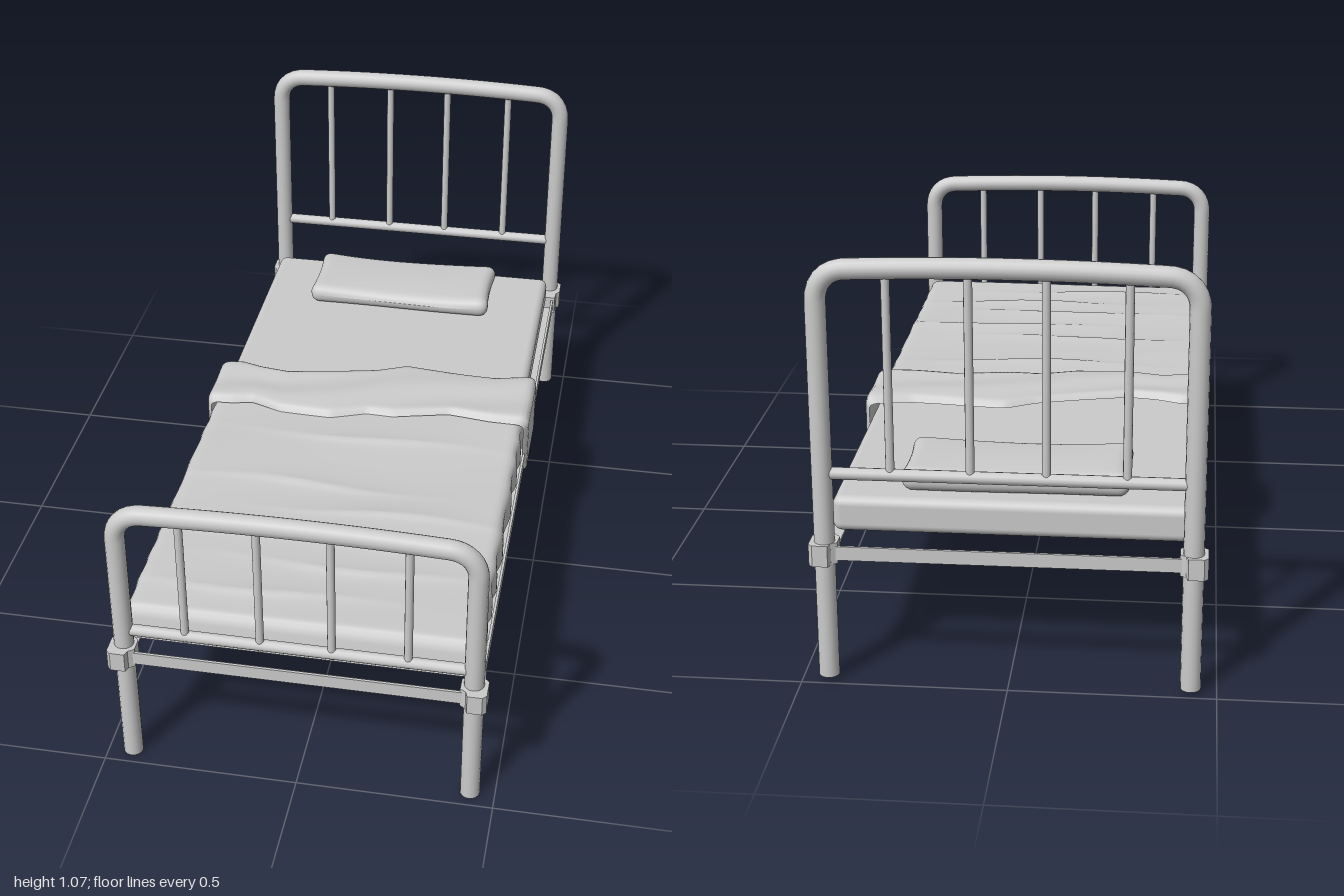
import * as THREE from 'three';
import { mergeVertices } from 'three/addons/utils/BufferGeometryUtils.js';
import { RoundedBoxGeometry } from 'three/addons/geometries/RoundedBoxGeometry.js';

const metal = new THREE.MeshStandardMaterial({ color: 0xcccccc });
const cloth = new THREE.MeshStandardMaterial({ color: 0xcccccc, side: THREE.DoubleSide });
const V = (x, y, z = 0) => new THREE.Vector3(x, y, z);

function add(parent, name, geometry, x = 0, y = 0, z = 0, material = metal) {
  const mesh = new THREE.Mesh(geometry, material);
  mesh.name = name;
  mesh.position.set(x, y, z);
  parent.add(mesh);
  return mesh;
}

// Linear interpolation through a few [x, value] pairs
function lerpTable(table, x) {
  let i = 1;
  while (i < table.length - 1 && x > table[i][0]) i++;
  const [x0, a] = table[i - 1], [x1, b] = table[i];
  return a + (b - a) * THREE.MathUtils.clamp((x - x0) / (x1 - x0), 0, 1);
}

// Bent tube frame with legs, a lower rail and four spindles
function endFrame(name, z, top, railY, footY) {
  const group = new THREE.Group();
  group.name = name;
  group.position.z = z;
  const X = 0.437, bend = 0.075, R = 0.025;
  const path = new THREE.CurvePath();
  const shoulder = top - 0.008;
  path.add(new THREE.LineCurve3(V(-X, footY), V(-X, shoulder - bend)));
  const corner = s => [V(s * X, shoulder - bend), V(s * X, shoulder - bend * 0.4), V(s * (X - bend * 0.4), shoulder), V(s * (X - bend), shoulder)];
  path.add(new THREE.CubicBezierCurve3(...corner(-1)));
  path.add(new THREE.QuadraticBezierCurve3(V(-X + bend, shoulder), V(0, top + 0.008), V(X - bend, shoulder)));
  path.add(new THREE.CubicBezierCurve3(...corner(1).reverse()));
  path.add(new THREE.LineCurve3(V(X, shoulder - bend), V(X, footY)));
  add(group, 'bentTube', new THREE.TubeGeometry(path, 160, R, 16));
  for (const s of [-1, 1]) {
    add(group, 'legEnd', new THREE.CircleGeometry(R, 16).rotateX(Math.PI / 2), s * X, footY);
  }
  add(group, 'lowerRail', new THREE.CylinderGeometry(0.015, 0.015, 2 * X, 12).rotateZ(Math.PI / 2), 0, railY);
  for (const x of [-0.279, -0.091, 0.087, 0.275]) {
    const h = top - railY + 0.012;
    add(group, 'spindle', new THREE.CylinderGeometry(0.0105, 0.0105, h, 12), x, railY - 0.012 + h / 2);
  }
  return group;
}

// Angle iron: an L section extruded along z, centred
function angleIron(length) {
  const s = new THREE.Shape([[0, 0], [0, 0.035], [-0.007, 0.035], [-0.007, 0.007], [-0.038, 0.007], [-0.038, 0]]
    .map(p => new THREE.Vector2(...p)));
  return new THREE.ExtrudeGeometry(s, { depth: length, bevelEnabled: false }).translate(0, 0, -length / 2);
}

// Corner clamp: a chamfered plan with arms reaching along both rails
function clampGeometry() {
  const s = new THREE.Shape([[0.405, 0.975], [0.405, 0.94], [0.42, 0.925], [0.428, 0.9], [0.46, 0.9], [0.462, 0.93],
    [0.472, 0.94], [0.472, 0.99], [0.462, 1], [0.425, 1], [0.42, 0.985]].map(p => new THREE.Vector2(...p)));
  return new THREE.ExtrudeGeometry(s, { depth: 0.054, bevelEnabled: false }).rotateX(Math.PI / 2).translate(0, 0.361, 0);
}

// Sheet bent by a rule (u runs across x, v runs toward +z)
function sheet(nu, nv, rule) {
  const g = new THREE.PlaneGeometry(1, 1, nu, nv);
  const p = g.attributes.position;
  for (let i = 0; i < p.count; i++) {
    const [x, y, z] = rule(i % (nu + 1), Math.floor(i / (nu + 1)) / nv);
    p.setXYZ(i, x, y, z);
  }
  g.computeVertexNormals();
  return g;
}

// Up one side of the mattress, across the top and down the other side
function drape(n, w, bottom, top, r) {
  const s = new THREE.Path();
  s.moveTo(-w, bottom);
  s.lineTo(-w, top - r);
  s.quadraticCurveTo(-w, top, -w + r, top);
  s.lineTo(w - r, top);
  s.quadraticCurveTo(w, top, w, top - r);
  s.lineTo(w, bottom);
  return s.getSpacedPoints(n);
}

function blanketGeometry() {
  const n = 90, pts = drape(n, 0.443, 0.358, 0.447, 0.03);
  const folds = [[0.11, 0.05], [0.34, -0.1], [0.45, 0.15], [0.58, -0.05], [0.68, 0.1], [0.8, -0.12]];
  return sheet(n, 110, (i, v) => {
    const { x, y } = pts[i];
    const z = -0.08 + 1.008 * v;
    const up = THREE.MathUtils.clamp((y - 0.4) / 0.047, 0, 1);
    // Each crease rises slowly and drops off steeply
    let h = 0;
    for (const [zc, xc] of folds) {
      const d = z - zc - 0.012 * Math.sin(9 * x + zc * 20);
      const along = Math.exp(-(((x - xc) / 0.25) ** 2));
      h += 0.009 * along * (d < 0 ? Math.exp(d / 0.04) : Math.exp(-d / 0.012));
    }
    const side = (1 - up) * 0.005 * Math.sin(48 * z + 2 * Math.sin(9 * z)) * Math.sign(x);
    // Round the foot end over and close it
    const e = Math.max(0, (z - 0.893) / 0.035);
    const drop = e > 0 ? 1 - Math.sqrt(Math.max(0, 1 - e * e)) : 0;
    const yy = y + up * (h + 0.002 * Math.sin(14 * z + 5 * x));
    return [(x + side) * (1 - 0.02 * drop), yy - (yy - 0.358) * drop, z];
  });
}

// Turned-down band with wavy edges and hanging sides
function bandGeometry() {
  const back = [[-0.46, -0.2], [-0.4, -0.205], [-0.34, -0.185], [-0.26, -0.175], [-0.1, -0.21], [0, -0.235], [0.08, -0.275], [0.25, -0.255], [0.34, -0.25], [0.46, -0.275]];
  const front = [[-0.46, 0.005], [-0.4, 0], [-0.34, -0.015], [-0.25, 0.015], [-0.1, 0.02], [0, -0.015], [0.08, -0.01], [0.24, -0.045], [0.36, -0.03], [0.46, -0.03]];
  const n = 100, pts = drape(n, 0.461, 0.297, 0.468, 0.025);
  return sheet(n, 20, (i, v) => {
    const { x, y } = pts[i];
    const hem = Math.max(0, Math.abs(v - 0.5) * 2 - 0.88) / 0.12;
    const k = 1 - hem * 0.03;
    const z = THREE.MathUtils.lerp(lerpTable(back, x), lerpTable(front, x), v);
    const top = THREE.MathUtils.clamp((y - 0.43) / 0.038, 0, 1);
    return [x * k, y - top * (hem * 0.018 + 0.003 * Math.sin(7 * x + 9 * v)), z];
  });
}

// Soft box with rounded edges and a sagging middle
function pillowGeometry() {
  const half = V(0.28, 0.031, 0.122), r = 0.029;
  let g = new THREE.BoxGeometry(half.x * 2, half.y * 2, half.z * 2, 48, 8, 24);
  g.deleteAttribute('uv');
  g.deleteAttribute('normal');
  g = mergeVertices(g);
  const p = g.attributes.position, inner = half.clone().subScalar(r), neg = inner.clone().negate();
  const a = V(0, 0), q = V(0, 0);
  for (let i = 0; i < p.count; i++) {
    a.fromBufferAttribute(p, i);
    q.copy(a).clamp(neg, inner);
    a.sub(q).setLength(r).add(q);
    const u = a.x / half.x, w = a.z / half.z;
    if (a.y > 0) a.y -= 0.013 * (1 - u * u) * (0.4 + 0.6 * w * w);
    a.z *= 1 + 0.02 * Math.sin(u * 3);
    a.x *= 1 - 0.03 * (1 - w * w);
    p.setXYZ(i, a.x, a.y, a.z);
  }
  g.computeVertexNormals();
  return g;
}

export function createModel() {
  const bed = new THREE.Group();
  bed.name = 'bed';

  bed.add(endFrame('headboard', -0.967, 1.042, 0.535, 0.01));
  bed.add(endFrame('footboard', 0.953, 0.772, 0.405, 0));

  // Bed base
  for (const s of [-1, 1]) {
    const side = add(bed, 'sideRail', angleIron(1.9), s * 0.455, 0.316, 0);
    if (s < 0) side.rotation.y = Math.PI;
    const end = add(bed, 'endRail', angleIron(0.85), 0, 0.316, s * 0.978);
    end.rotation.y = -s * Math.PI / 2;
  }
  const clamp = clampGeometry();
  for (const turned of [0, 1]) {
    for (const s of [1, -1]) {
      const g = clamp.clone();
      if (s < 0) {
        // Mirror and flip the winding
        g.scale(-1, 1, 1);
        const p = g.attributes.position;
        for (let i = 0; i < p.count; i += 3) {
          const a = V(0, 0).fromBufferAttribute(p, i), b = V(0, 0).fromBufferAttribute(p, i + 1);
          p.setXYZ(i, b.x, b.y, b.z);
          p.setXYZ(i + 1, a.x, a.y, a.z);
        }
        g.computeVertexNormals();
      }
      add(bed, 'cornerClamp', g).rotation.y = turned * Math.PI;
    }
  }

  // Bedding
  add(bed, 'mattress', new RoundedBoxGeometry(0.866, 0.09, 1.805, 4, 0.022), 0, 0.394, 0.012);
  add(bed, 'blanket', blanketGeometry(), 0, 0, 0, cloth);
  add(bed, 'foldedBand', bandGeometry(), 0, 0, 0, cloth);
  add(bed, 'pillow', pillowGeometry(), -0.004, 0.469, -0.724);
  return bed;
}
